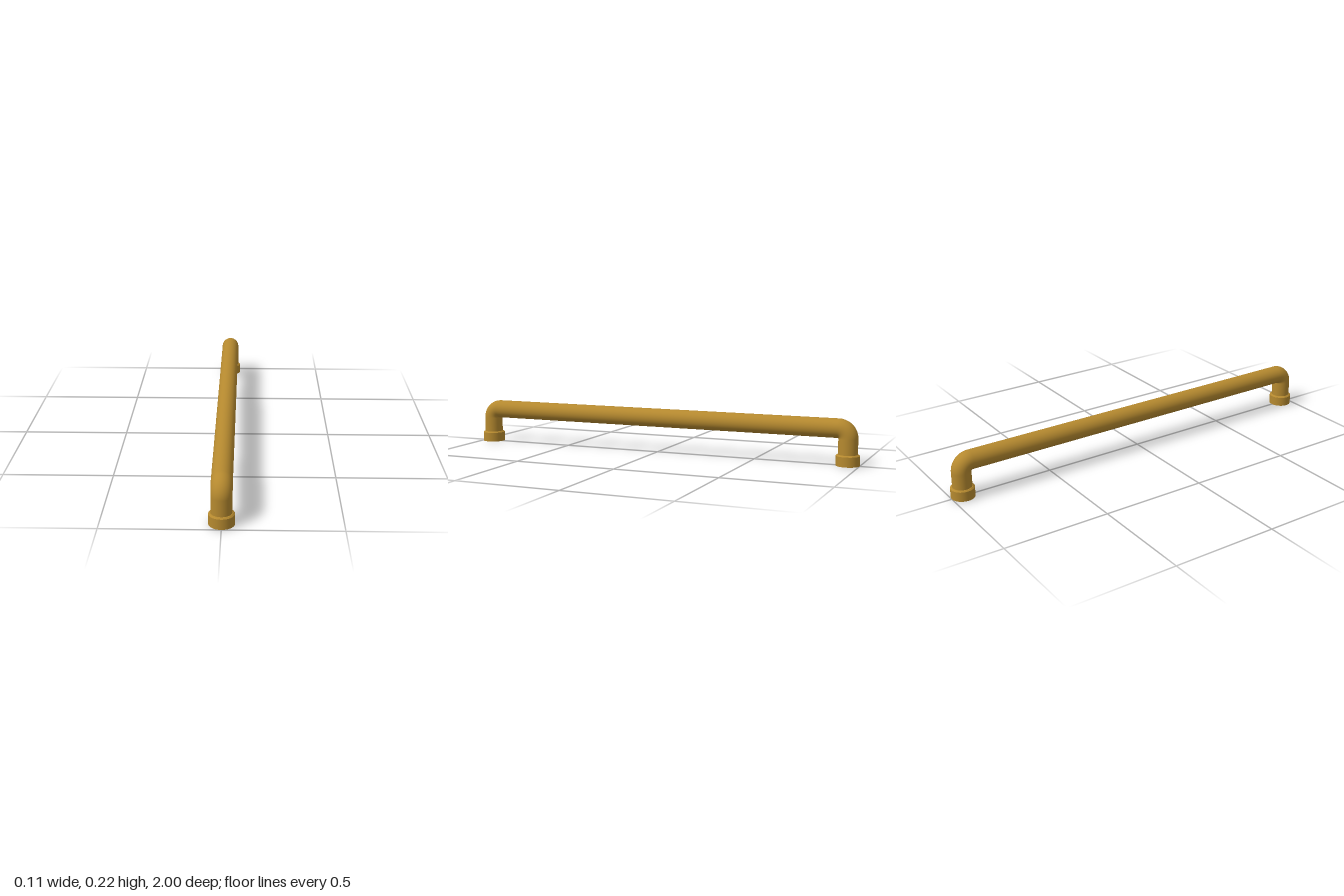
import * as THREE from 'three';

export function createModel() {
  const brass = new THREE.MeshStandardMaterial({ color: 0xb5892f });
  brass.name = 'brass';
  const model = new THREE.Group();
  model.name = 'pullHandle';

  const R = 0.045, BEND = 0.046, POST_Z = 0.945, BAR_Y = 0.17, SEG = 48;
  const barEnd = POST_Z - BEND, postTop = BAR_Y - BEND;

  const add = (parent, name, geometry, y = 0, z = 0) => {
    const mesh = new THREE.Mesh(geometry, brass);
    mesh.name = name;
    mesh.position.set(0, y, z);
    parent.add(mesh);
    return mesh;
  };

  // Long straight grip
  const grip = new THREE.CylinderGeometry(R, R, 2 * barEnd, SEG, 1, true).rotateX(Math.PI / 2);
  add(model, 'gripBar', grip, BAR_Y);

  // Matching legs: elbow, post and chamfered foot collar
  for (const [name, turn] of [['frontLeg', 0], ['backLeg', Math.PI]]) {
    const leg = new THREE.Group();
    leg.name = name;
    leg.rotation.y = turn;
    const elbow = new THREE.TorusGeometry(BEND, R, SEG, 20, Math.PI / 2).rotateY(-Math.PI / 2);
    add(leg, 'elbow', elbow, postTop, barEnd);
    add(leg, 'post', new THREE.CylinderGeometry(R, R, postTop - 0.02, SEG, 1, true), (postTop + 0.02) / 2, POST_Z);
    add(leg, 'collar', new THREE.CylinderGeometry(0.055, 0.055, 0.046, SEG), 0.023, POST_Z);
    add(leg, 'collarChamfer', new THREE.CylinderGeometry(0.048, 0.055, 0.006, SEG), 0.049, POST_Z);
    model.add(leg);
  }
  return model;
}
